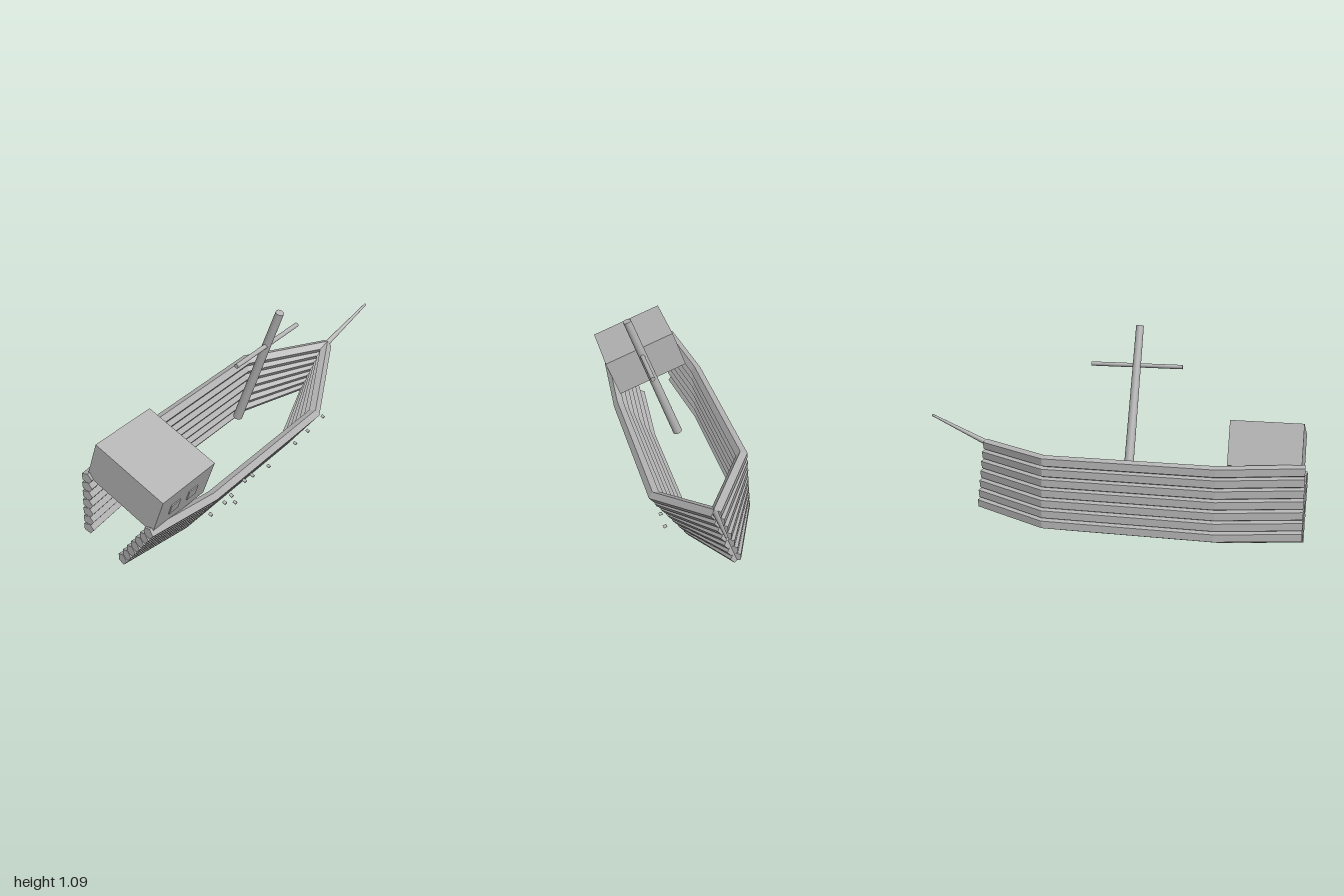
import * as THREE from 'three';

const grey = new THREE.MeshStandardMaterial({ color: 0xb4b4b4 });
grey.name = 'plain grey';

const UP = new THREE.Vector3(0, 1, 0);

function add(parent, name, geometry, x = 0, y = 0, z = 0) {
  const mesh = new THREE.Mesh(geometry, grey);
  mesh.name = name;
  mesh.position.set(x, y, z);
  parent.add(mesh);
  return mesh;
}

// Pentagonal beam swept along a path, mitred at the bends
function beamGeometry(path, radius) {
  const sides = 5, pos = [], index = [];
  const flat = (a, b) => new THREE.Vector2(b.x - a.x, b.z - a.z).normalize();
  path.forEach((p, i) => {
    const before = flat(path[Math.max(i - 1, 0)], path[Math.max(i, 1)]);
    const after = flat(path[Math.min(i, path.length - 2)], path[Math.min(i + 1, path.length - 1)]);
    const t = before.clone().add(after).normalize();
    const stretch = 1 / t.dot(before);
    for (let j = 0; j < sides; j++) {
      const a = j / sides * Math.PI * 2;
      const side = Math.sin(a) * radius * stretch;
      pos.push(p.x - t.y * side, p.y + Math.cos(a) * radius, p.z + t.x * side);
    }
  });
  for (let i = 0; i < path.length - 1; i++) {
    for (let j = 0; j < sides; j++) {
      const a = i * sides + j, b = i * sides + (j + 1) % sides;
      index.push(a, b, a + sides, b, b + sides, a + sides);
    }
  }
  const end = (path.length - 1) * sides;
  for (let j = 1; j < sides - 1; j++) {
    index.push(0, j + 1, j, end, end + j, end + j + 1);
  }
  const indexed = new THREE.BufferGeometry();
  indexed.setAttribute('position', new THREE.Float32BufferAttribute(pos, 3));
  indexed.setIndex(index);
  const geometry = indexed.toNonIndexed();
  geometry.computeVertexNormals();
  return geometry;
}

// Round tapered spar between two points
function spar(parent, name, from, to, r0, r1) {
  const a = new THREE.Vector3(...from), b = new THREE.Vector3(...to);
  const dir = b.clone().sub(a);
  const mesh = add(parent, name, new THREE.CylinderGeometry(r1, r0, dir.length(), 24));
  mesh.position.copy(a).add(b).multiplyScalar(0.5);
  mesh.quaternion.setFromUnitVectors(UP, dir.normalize());
}

export function createModel() {
  const model = new THREE.Group();
  model.name = 'ship';

  // The whole ship heels over towards the front
  const heel = new THREE.Group();
  heel.name = 'heelingShip';
  heel.rotation.x = THREE.MathUtils.degToRad(20);
  model.add(heel);
  const ship = new THREE.Group();
  ship.name = 'shipBody';
  ship.position.z = -0.127;
  heel.add(ship);

  // Hull: seven planks on each side, flaring outwards, open at stern and keel
  for (const side of [1, -1]) {
    for (let i = 0; i < 7; i++) {
      const y = 0.046 + i * 0.0507, w = 0.157 + i * 0.0138;
      const path = [
        [-0.997, y + 0.037, w - 0.045],
        [-0.585, y, w],
        [0.27, y, w],
        [0.67, y + 0.087, 0],
      ].map(([px, py, pz]) => new THREE.Vector3(px, py, pz * side));
      add(ship, side > 0 ? 'leftOfStemPlank' : 'rightOfStemPlank', beamGeometry(path, 0.031));
    }
  }

  // Cabin on the stern with two thin windows
  add(ship, 'cabin', new THREE.BoxGeometry(0.352, 0.22, 0.41), -0.806, 0.501, 0.002);
  for (const x of [-0.87, -0.75]) {
    add(ship, 'cabinWindow', new THREE.BoxGeometry(0.06, 0.06, 0.008), x, 0.495, 0.208);
  }

  // Mast, yard and bowsprit
  spar(ship, 'mast', [-0.107, 0.375, 0], [-0.107, 1.105, 0], 0.024, 0.02);
  spar(ship, 'yard', [-0.347, 0.897, 0.003], [0.134, 0.897, 0.003], 0.011, 0.011);
  spar(ship, 'bowsprit', [0.64, 0.435, 0], [0.997, 0.58, 0], 0.015, 0.006);

  // Small studs standing off one side of the hull
  const studs = [[-0.31, 0.26], [-0.24, 0.247], [-0.395, 0.21], [-0.55, 0.19], [-0.44, 0.19],
    [-0.075, 0.19], [0.16, 0.2], [0.265, 0.225], [0.395, 0.253], [-0.31, 0.078]];
  for (const [x, y] of studs) {
    const stud = add(ship, 'hullStud', new THREE.CylinderGeometry(0.008, 0.008, 0.018, 12), x, y, 0.253);
    stud.rotation.x = Math.PI / 2;
  }

  return model;
}
